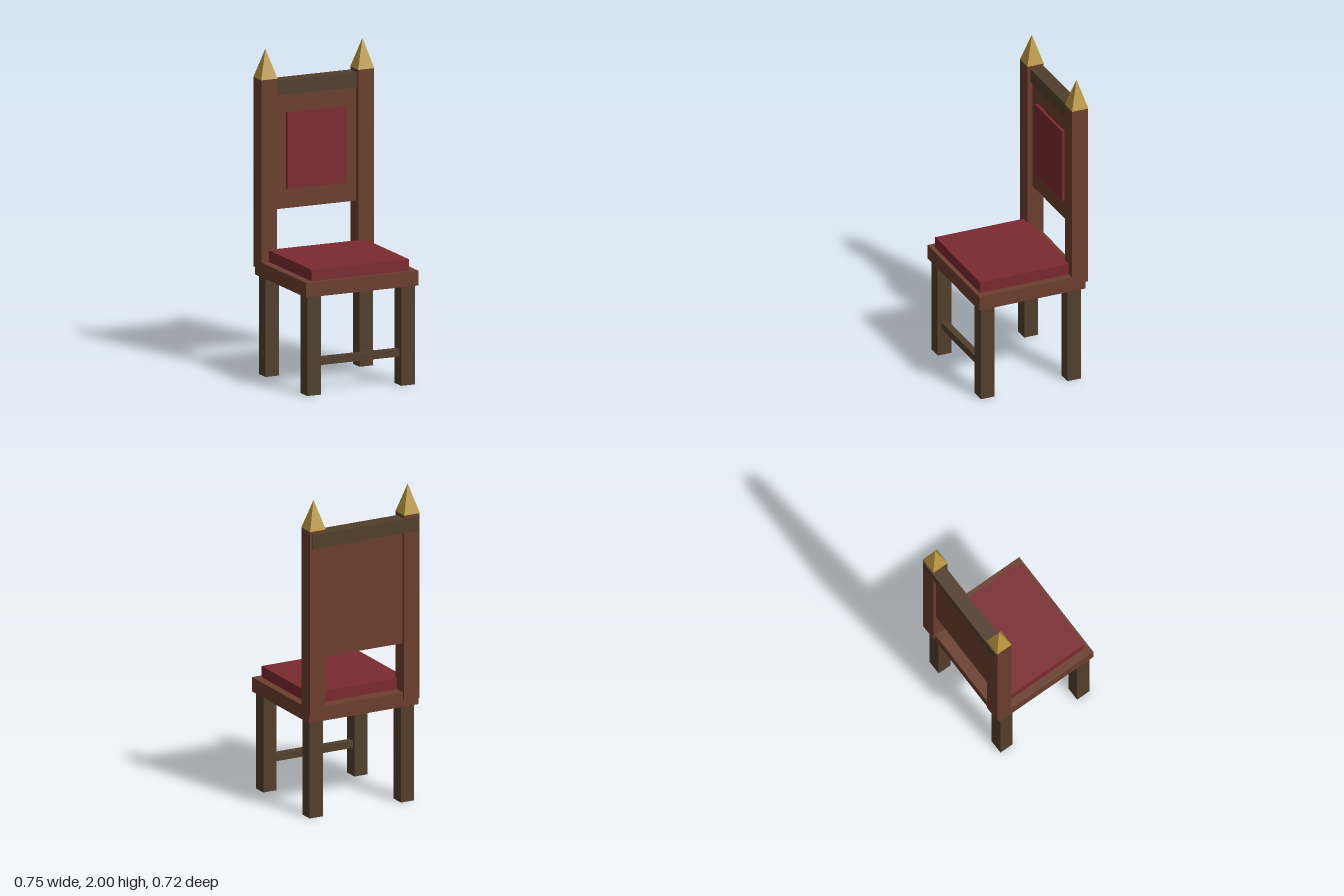
import * as THREE from 'three';

const mat = (color) => new THREE.MeshStandardMaterial({ color, flatShading: true });

export function createModel() {
  const chair = new THREE.Group();
  chair.name = 'chair';
  const wood = mat(0x6b3e2e);
  const darkWood = mat(0x523e2b);
  const cloth = mat(0x7a2a2e);
  const gold = mat(0xb8963e);

  // Box given by its extents on each axis
  const box = (name, material, [x0, x1], [y0, y1], [z0, z1]) => {
    const mesh = new THREE.Mesh(new THREE.BoxGeometry(x1 - x0, y1 - y0, z1 - z0), material);
    mesh.position.set((x0 + x1) / 2, (y0 + y1) / 2, (z0 + z1) / 2);
    mesh.name = name;
    chair.add(mesh);
  };

  // Seat and cushion
  box('seat', wood, [-0.375, 0.375], [0.61, 0.7], [-0.34, 0.36]);
  box('seatCushion', cloth, [-0.325, 0.325], [0.7, 0.77], [-0.265, 0.332]);

  // Backrest: panel, upholstery and top rail lapping behind the posts
  box('backPanel', wood, [-0.275, 0.275], [1.01, 1.72], [-0.335, -0.283]);
  box('backUpholstery', cloth, [-0.195, 0.195], [1.13, 1.6], [-0.3, -0.265]);
  box('topRail', darkWood, [-0.363, 0.363], [1.71, 1.8], [-0.36, -0.27]);

  // Front stretcher
  box('frontStretcher', darkWood, [-0.28, 0.28], [0.175, 0.22], [0.273, 0.317]);

  // Mirrored legs, posts and finials
  for (const [side, s] of [['left', 1], ['right', -1]]) {
    const span = (a, b) => (s > 0 ? [a, b] : [-b, -a]);
    box(side + 'FrontLeg', darkWood, span(0.268, 0.358), [0, 0.61], [0.252, 0.342]);
    box(side + 'BackLeg', darkWood, span(0.268, 0.358), [0, 0.61], [-0.318, -0.228]);
    box(side + 'BackPost', wood, span(0.27, 0.376), [0.655, 1.82], [-0.355, -0.25]);

    // Four-sided pyramid, turned square to the post
    const pyramid = new THREE.ConeGeometry(0.054 * Math.SQRT2, 0.18, 4).rotateY(Math.PI / 4);
    const finial = new THREE.Mesh(pyramid, gold);
    finial.position.set(s * 0.323, 1.91, -0.303);
    finial.name = side + 'Finial';
    chair.add(finial);
  }
  return chair;
}
